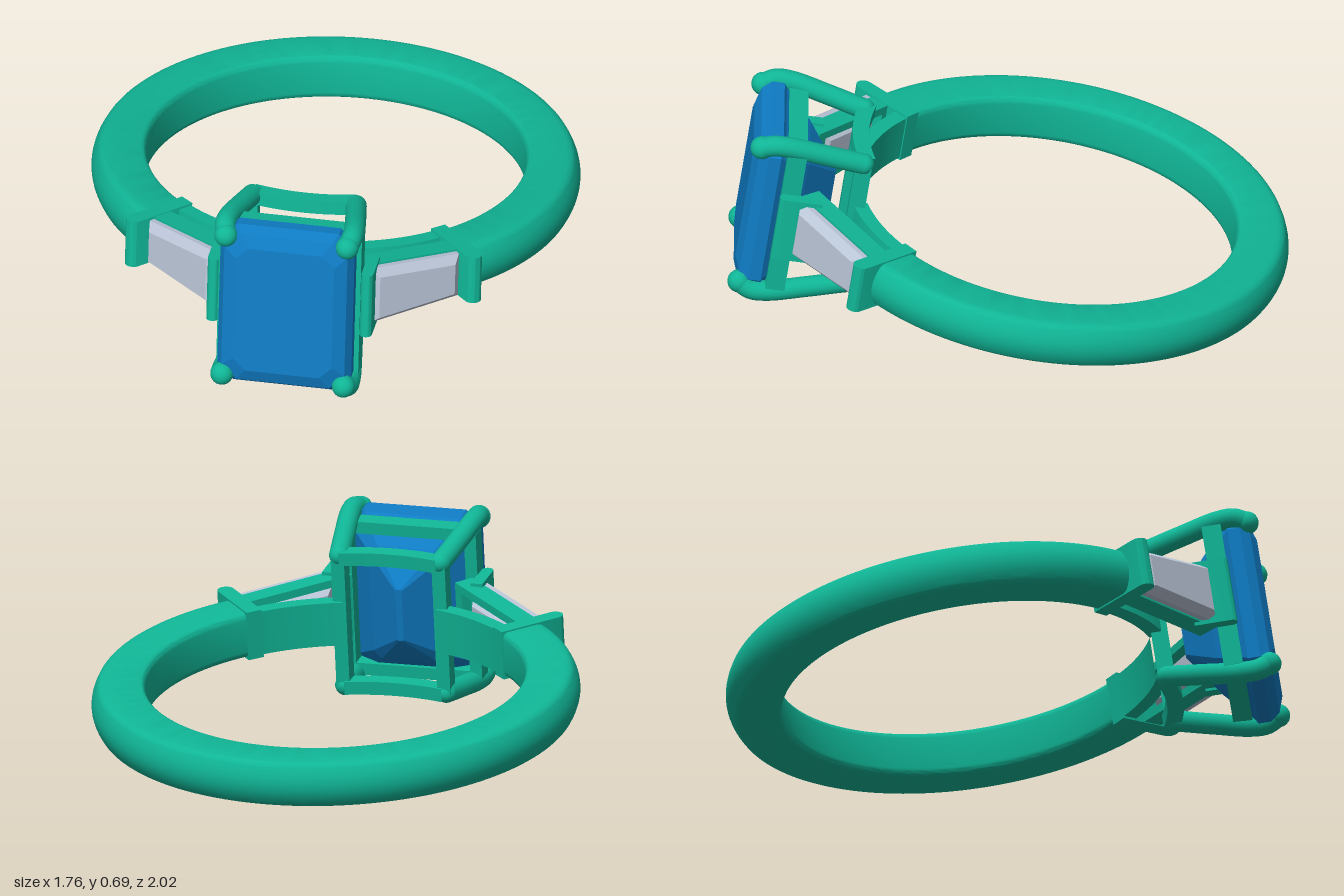
import * as THREE from 'three';
import { toCreasedNormals } from 'three/addons/utils/BufferGeometryUtils.js';

const metal = new THREE.MeshStandardMaterial({ color: 0x10b596 });
const blue = new THREE.MeshStandardMaterial({ color: 0x0f7cc4, flatShading: true });
const clear = new THREE.MeshStandardMaterial({ color: 0xb9c4d6, flatShading: true });

function add(parent, name, geometry, material, x = 0, y = 0, z = 0) {
  const mesh = new THREE.Mesh(geometry, material);
  mesh.name = name;
  mesh.position.set(x, y, z);
  parent.add(mesh);
  return mesh;
}

// Faceted solid from equal-length corner loops [x, y, z], back to front, counterclockwise from +z
function loft(loops) {
  const n = loops[0].length, index = [];
  for (let k = 0; k < loops.length - 1; k++) {
    for (let i = 0; i < n; i++) {
      const a = k * n + i, b = k * n + (i + 1) % n;
      index.push(a, b, b + n, a, b + n, a + n);
    }
  }
  const top = (loops.length - 1) * n;
  for (let i = 1; i < n - 1; i++) index.push(0, i + 1, i, top, top + i, top + i + 1);
  const g = new THREE.BufferGeometry();
  g.setAttribute('position', new THREE.Float32BufferAttribute(loops.flat(2), 3));
  g.setIndex(index);
  const flat = g.toNonIndexed();
  flat.computeVertexNormals();
  return flat;
}

// Rectangle with cut corners
function octagon(z, hx, hy, c) {
  return [[hx, -hy + c], [hx, hy - c], [hx - c, hy], [-hx + c, hy],
    [-hx, hy - c], [-hx, -hy + c], [-hx + c, -hy], [hx - c, -hy]].map(([x, y]) => [x, y, z]);
}

// Tapered four-sided outline, tall at x0 and short at x1
function taper(x0, x1, h0, h1) {
  return [[x0, -h0], [x1, -h1], [x1, h1], [x0, h0]];
}

// Part of a ring with a rectangular section
function arcBar(r0, r1, y0, y1, start, length) {
  const profile = [[r0, y0], [r1, y0], [r1, y1], [r0, y1], [r0, y0]].map(p => new THREE.Vector2(...p));
  return toCreasedNormals(new THREE.LatheGeometry(profile, 24, start, length), 0.6);
}

// Upright plate running along z with a rounded front end
function endPlate(width, z0, z1, halfHeight) {
  const r = width / 2, s = new THREE.Shape();
  s.moveTo(-r, -z0);
  s.lineTo(-r, -(z1 - r));
  s.absarc(0, -(z1 - r), r, Math.PI, Math.PI * 2, false);
  s.lineTo(r, -z0);
  s.closePath();
  const g = new THREE.ExtrudeGeometry(s, { depth: 2 * halfHeight, bevelEnabled: false, curveSegments: 16 });
  g.translate(0, 0, -halfHeight).rotateX(-Math.PI / 2);
  return toCreasedNormals(g, 0.6);
}

const BAR_ANGLE = 0.74;

// One side stone with its frame and end plates
function buildShoulder() {
  const shoulder = new THREE.Group();
  const setting = new THREE.Group();
  setting.name = 'sideStoneSetting';
  setting.position.set(0.3, 0, 0.925);
  setting.rotation.y = 0.68;
  shoulder.add(setting);

  const at = (pts, z) => pts.map(([x, y]) => [x, y, z]);
  add(setting, 'sideStone', loft([
    at(taper(0.06, 0.3, 0.05, 0.035), -0.12),
    at(taper(-0.01, 0.365, 0.112, 0.085), -0.05),
    at(taper(-0.01, 0.365, 0.112, 0.085), -0.03),
    at(taper(0.025, 0.335, 0.083, 0.06), 0),
  ]), clear);

  const toVec = pts => pts.map(p => new THREE.Vector2(...p));
  const frame = new THREE.Shape(toVec(taper(-0.03, 0.38, 0.118, 0.088)));
  frame.holes.push(new THREE.Path(toVec(taper(0.01, 0.34, 0.085, 0.06)).reverse()));
  add(setting, 'sideStoneFrame',
    new THREE.ExtrudeGeometry(frame, { depth: 0.075, bevelEnabled: false }), metal, 0, 0, -0.13);

  add(shoulder, 'innerEndPlate', endPlate(0.045, 0.83, 0.985, 0.125), metal, 0.28);
  add(shoulder, 'outerEndPlate', endPlate(0.06, 0.68, 0.95, 0.092), metal).rotation.y = BAR_ANGLE;
  add(shoulder, 'thinBand', arcBar(0.685, 0.74, -0.083, 0.083, 0.26, BAR_ANGLE - 0.26), metal);
  return shoulder;
}

export function createModel() {
  const model = new THREE.Group();
  model.name = 'ring';
  const ring = new THREE.Group();
  ring.name = 'tiltedRing';
  ring.position.set(0, 0.209, -0.125);
  ring.rotation.x = -0.146;
  model.add(ring);

  // Main band, open at the front between the shoulders
  const s = new THREE.Shape();
  s.moveTo(0.705, -0.086);
  s.lineTo(0.825, -0.086);
  s.quadraticCurveTo(0.852, -0.086, 0.862, -0.065);
  s.quadraticCurveTo(0.9, 0, 0.862, 0.065);
  s.quadraticCurveTo(0.852, 0.086, 0.825, 0.086);
  s.lineTo(0.705, 0.086);
  s.quadraticCurveTo(0.688, 0.084, 0.685, 0.06);
  s.lineTo(0.685, -0.06);
  s.quadraticCurveTo(0.688, -0.084, 0.705, -0.086);
  const band = new THREE.LatheGeometry(s.getPoints(8), 120, BAR_ANGLE, 2 * (Math.PI - BAR_ANGLE));
  add(ring, 'band', toCreasedNormals(band, 0.6), metal);

  // Shoulders: the second is the first turned half round
  for (const side of ['left', 'right']) {
    const shoulder = buildShoulder();
    shoulder.name = side + 'Shoulder';
    if (side === 'right') shoulder.rotation.z = Math.PI;
    ring.add(shoulder);
  }

  // Step-cut centre stone
  add(ring, 'centreStone', loft([
    octagon(0.78, 0.012, 0.1, 0.005),
    octagon(0.89, 0.14, 0.22, 0.03),
    octagon(0.99, 0.235, 0.305, 0.055),
    octagon(1.0, 0.245, 0.32, 0.06),
    octagon(1.045, 0.245, 0.32, 0.06),
    octagon(1.08, 0.225, 0.298, 0.055),
    octagon(1.1, 0.18, 0.25, 0.045),
  ]), blue);

  // Basket: prongs, rear frame and seat under the stone
  const basket = new THREE.Group();
  basket.name = 'basket';
  ring.add(basket);
  const R = 0.038;
  for (const sx of [1, -1]) {
    for (const sy of [1, -1]) {
      const path = [[0.19, 0.252, 0.7], [0.212, 0.28, 0.84], [0.23, 0.304, 0.97],
        [0.232, 0.304, 1.03], [0.222, 0.284, 1.075]]
        .map(([x, y, z]) => new THREE.Vector3(x * sx, y * sy, z));
      const curve = new THREE.CatmullRomCurve3(path);
      add(basket, 'prong', new THREE.TubeGeometry(curve, 32, R, 16), metal);
      for (const [end, r] of [[path[0], R], [path[4], 0.042]]) {
        add(basket, 'prongEnd', new THREE.SphereGeometry(r, 20, 14), metal, end.x, end.y, end.z);
      }
    }
    add(basket, 'rearStrut', new THREE.BoxGeometry(0.05, 0.5, 0.06), metal, 0.19 * sx, 0, 0.7);
    add(basket, 'seatSide', new THREE.BoxGeometry(0.045, 0.56, 0.07), metal, 0.237 * sx, 0, 0.945);
    add(basket, 'seatEnd', new THREE.BoxGeometry(0.44, 0.045, 0.07), metal, 0, 0.275 * sx, 0.945);
    const y = 0.25 * sx;
    add(basket, 'rearRail', arcBar(0.685, 0.745, y - 0.025, y + 0.025, -0.27, 0.54), metal);
  }
  return model;
}
